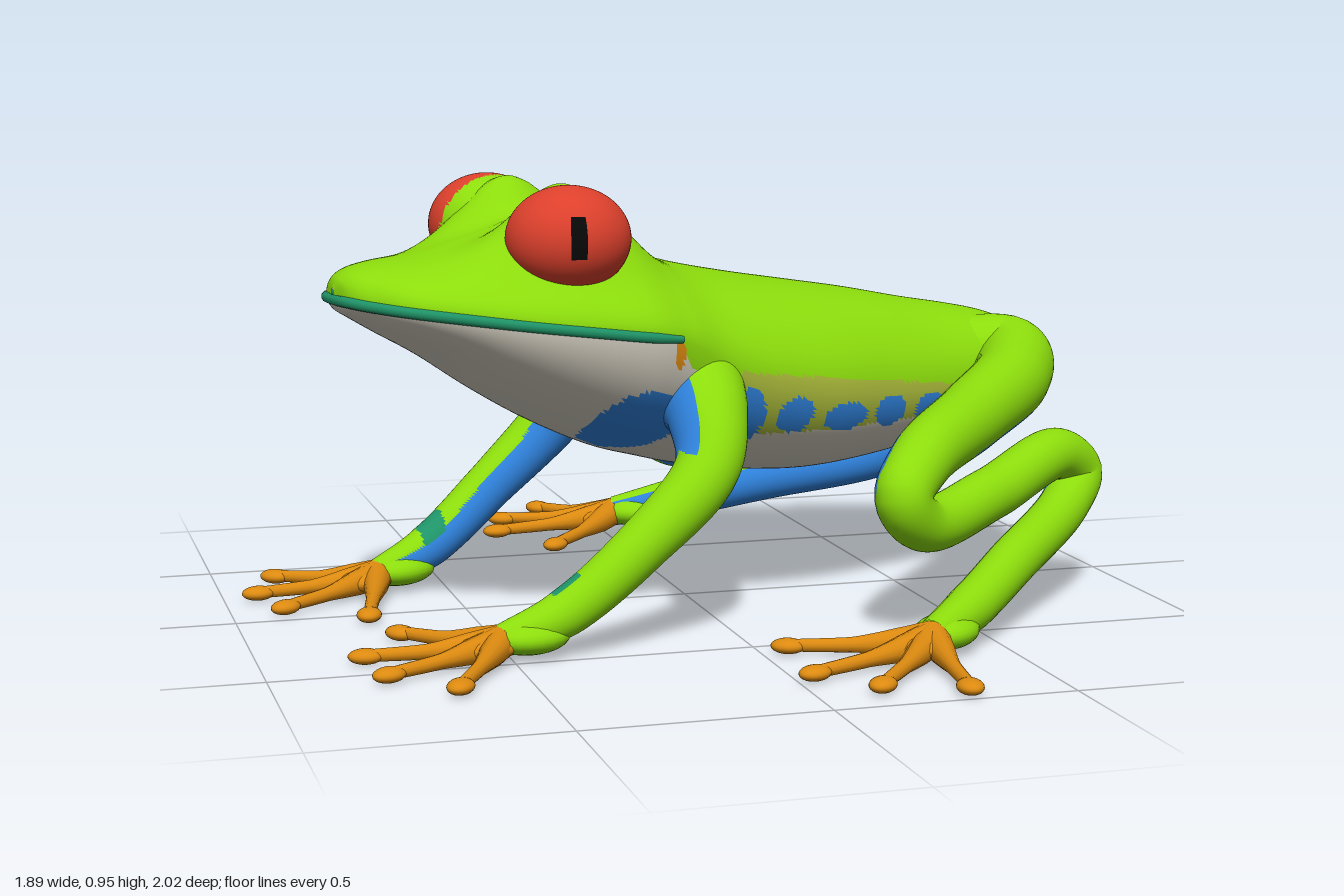
import * as THREE from 'three';

const mat = (name, color) => Object.assign(new THREE.MeshStandardMaterial({ color }), { name });
const GREEN = mat('leafGreen', 0x8cdc0c), BELLY = mat('paleBelly', 0xd2cdbf), FLANK = mat('oliveFlank', 0xa9b93a),
  BLUE = mat('blue', 0x2f82dc), ORANGE = mat('orange', 0xdc8a10), RED = mat('eyeRed', 0xdc402c),
  TEAL = mat('tealLip', 0x1f9468), BLACK = mat('pupilBlack', 0x080808);

function add(parent, name, geometry, material) {
  const mesh = new THREE.Mesh(geometry, material);
  mesh.name = name;
  parent.add(mesh);
  return mesh;
}

// Sorts triangles into material groups; rule(centre, normal) gives the material index
function paint(geo, count, rule) {
  const buckets = Array.from({ length: count }, () => []);
  const pos = geo.attributes.position, nor = geo.attributes.normal, idx = geo.index.array;
  const c = new THREE.Vector3(), n = new THREE.Vector3(), v = new THREE.Vector3();
  for (let i = 0; i < idx.length; i += 3) {
    c.set(0, 0, 0);
    n.set(0, 0, 0);
    for (let k = 0; k < 3; k++) {
      c.add(v.fromBufferAttribute(pos, idx[i + k]));
      n.add(v.fromBufferAttribute(nor, idx[i + k]));
    }
    buckets[rule(c.divideScalar(3), n.normalize())].push(idx[i], idx[i + 1], idx[i + 2]);
  }
  geo.setIndex(buckets.flat());
  let start = 0;
  buckets.forEach((b, m) => { geo.addGroup(start, b.length, m); start += b.length; });
  return geo;
}

// Tapered tube through points [x, y, z, radius]; side mirrors it across z
function limb(points, side, steps, sides) {
  const curve = new THREE.CatmullRomCurve3(points.map(p => new THREE.Vector3(p[0], p[1], p[2] * side)));
  const geo = new THREE.TubeGeometry(curve, steps, 1, sides);
  const pos = geo.attributes.position, v = new THREE.Vector3();
  for (let i = 0; i <= steps; i++) {
    const centre = curve.getPointAt(i / steps);
    const t = curve.getUtoTmapping(i / steps) * (points.length - 1);
    const k = Math.min(Math.floor(t), points.length - 2);
    const r = THREE.MathUtils.lerp(points[k][3], points[k + 1][3], t - k);
    for (let j = 0; j <= sides; j++) {
      const q = i * (sides + 1) + j;
      v.fromBufferAttribute(pos, q).sub(centre).multiplyScalar(r).add(centre);
      pos.setXYZ(q, v.x, v.y, v.z);
    }
  }
  return geo;
}

// Body stations: x, top, widest level, bottom, half width
const STATIONS = [
  [-0.822, 0.735, 0.716, 0.70, 0.004], [-0.81, 0.757, 0.715, 0.685, 0.07], [-0.78, 0.775, 0.71, 0.667, 0.125],
  [-0.72, 0.787, 0.702, 0.632, 0.195], [-0.62, 0.80, 0.689, 0.575, 0.255], [-0.50, 0.83, 0.673, 0.495, 0.305],
  [-0.38, 0.86, 0.658, 0.425, 0.335], [-0.25, 0.83, 0.641, 0.365, 0.348], [-0.15, 0.785, 0.61, 0.335, 0.33],
  [-0.05, 0.755, 0.56, 0.31, 0.31], [0.10, 0.725, 0.51, 0.285, 0.303], [0.25, 0.70, 0.48, 0.275, 0.285],
  [0.40, 0.675, 0.465, 0.285, 0.25], [0.55, 0.645, 0.46, 0.31, 0.215], [0.68, 0.622, 0.475, 0.355, 0.185],
  [0.77, 0.602, 0.495, 0.405, 0.16], [0.84, 0.575, 0.505, 0.435, 0.12], [0.875, 0.545, 0.505, 0.46, 0.065],
  [0.886, 0.512, 0.505, 0.495, 0.006],
];
// Blue flank spots: x, y, radius x, radius y
const SPOTS = [[-0.24, 0.445, 0.09, 0.075], [-0.01, 0.44, 0.05, 0.07], [0.115, 0.44, 0.045, 0.04],
  [0.25, 0.425, 0.06, 0.032], [0.38, 0.425, 0.045, 0.035], [0.50, 0.42, 0.045, 0.035], [0.63, 0.405, 0.05, 0.03]];
const inSpot = (x, y, s) => ((x - s[0]) / s[2]) ** 2 + ((y - s[1]) / s[3]) ** 2 < 1;

function bodyGeometry() {
  const rings = 200, sides = 144, verts = [], index = [];
  const a = new THREE.CatmullRomCurve3(STATIONS.map(s => new THREE.Vector3(s[0], s[1], s[2])), false, 'catmullrom');
  const b = new THREE.CatmullRomCurve3(STATIONS.map(s => new THREE.Vector3(s[3], s[4], 0)), false, 'catmullrom');
  for (let i = 0; i <= rings; i++) {
    const { x, y: top, z: mid } = a.getPoint(i / rings), { x: bottom, y: w } = b.getPoint(i / rings);
    const pinch = 1 + 1.3 * Math.exp(-(((x + 0.38) / 0.2) ** 2)); // narrows the head below the eyes
    for (let j = 0; j < sides; j++) {
      const t = (j / sides) * Math.PI * 2, c = Math.cos(t), s = Math.sin(t);
      const z = w * Math.sign(c) * Math.abs(c) ** (s > 0 ? pinch : 1);
      // Brow humps swell smoothly out of the head
      const hump = 0.14 * Math.exp(-(((x + 0.365) / 0.155) ** 2) - ((Math.abs(z) - 0.15) / 0.09) ** 2);
      verts.push(x, mid + s * (s > 0 ? top - mid : mid - bottom) + hump * THREE.MathUtils.clamp(s * 1.8, 0, 1), z);
      if (i < rings) {
        const p = i * sides + j, q = i * sides + (j + 1) % sides;
        index.push(p, p + sides, q, q, p + sides, q + sides);
      }
    }
  }
  const geo = new THREE.BufferGeometry();
  geo.setAttribute('position', new THREE.Float32BufferAttribute(verts, 3));
  geo.setIndex(index);
  geo.computeVertexNormals();
  return paint(geo, 5, ({ x, y, z }) => {
    if (inSpot(x, y, [-0.19, 0.597, 0.013, 0.03])) return 4;
    if (Math.abs(z) > 0.06 && SPOTS.some(s => inSpot(x, y, s))) return 3;
    if (x < -0.19 + 0.5 * Math.max(0, 0.63 - y)) return y > 0.715 - 0.13 * (x + 0.82) ? 0 : 1;
    if (y > 0.555 - 0.13 * (x + 0.1)) return 0;
    return y > 0.4 && x > -0.08 && (x < 0.72 || y > 0.46) ? (x < 0.68 ? 2 : 0) : 1;
  });
}

// Orange foot: toes fanning out from the wrist, each with a round pad, and a broad green wrist behind
function foot(parent, name, path, tips, side) {
  const group = new THREE.Group();
  group.name = name;
  parent.add(group);
  const [wx, wy, wz] = path[path.length - 1], [px, , pz] = path[path.length - 2];
  const disc = (label, material, scale, x, y, z, dx, dz) => {
    const mesh = add(group, label, new THREE.SphereGeometry(1, 22, 14), material);
    mesh.scale.set(...scale);
    mesh.position.set(x, y, z * side);
    mesh.rotation.y = -Math.atan2(dz * side, dx);
  };
  for (const [tx, tz] of tips) {
    const at = (f, y, r) => [wx + (tx - wx) * f, y, wz + (tz - wz) * f, r];
    add(group, 'toe', limb([at(0, wy, 0.034), at(0.25, 0.032, 0.028), at(0.55, 0.023, 0.016), at(1, 0.017, 0.013)],
      side, 16, 12), ORANGE);
    disc('toePad', ORANGE, [0.036, 0.016, 0.027], tx, 0.016, tz, tx - wx, tz - wz);
  }
  const mx = (tips[1][0] + tips[2][0]) / 2 - wx, mz = (tips[1][1] + tips[2][1]) / 2 - wz;
  disc('palm', ORANGE, [0.06, 0.026, 0.066], wx + mx * 0.13, 0.033, wz + mz * 0.13, mx, mz);
  const len = Math.hypot(px - wx, pz - wz), ux = (px - wx) / len, uz = (pz - wz) / len;
  disc('wrist', GREEN, [0.085, 0.036, 0.062], wx + ux * 0.055, 0.046, wz + uz * 0.055, ux, uz);
}

const ARM = [[-0.10, 0.52, 0.22, 0.11], [-0.115, 0.455, 0.315, 0.085], [-0.15, 0.36, 0.375, 0.068],
  [-0.30, 0.22, 0.385, 0.056], [-0.47, 0.09, 0.365, 0.05], [-0.60, 0.042, 0.345, 0.034]];
const HAND_TIPS = [[-0.775, 0.54], [-0.865, 0.395], [-0.855, 0.24], [-0.72, 0.09]];
const LEG = [[0.64, 0.50, 0.06, 0.10], [0.775, 0.505, 0.12, 0.094], [0.71, 0.475, 0.23, 0.088],
  [0.50, 0.425, 0.385, 0.078], [0.27, 0.37, 0.54, 0.067], [0.195, 0.305, 0.59, 0.06], [0.26, 0.24, 0.565, 0.058],
  [0.50, 0.265, 0.46, 0.058], [0.75, 0.315, 0.355, 0.058], [0.825, 0.265, 0.33, 0.057], [0.76, 0.205, 0.375, 0.055],
  [0.50, 0.13, 0.545, 0.053], [0.31, 0.075, 0.665, 0.05], [0.18, 0.045, 0.73, 0.036]];
const FOOT_TIPS = [[0.093, 0.995], [-0.048, 0.905], [-0.12, 0.77], [-0.06, 0.56]];

export function createModel() {
  const model = new THREE.Group();
  model.name = 'treeFrog';
  const frog = new THREE.Group();
  frog.name = 'frog';
  frog.rotation.y = 0.2;
  frog.position.z = 0.01;
  model.add(frog);

  add(frog, 'body', bodyGeometry(), [GREEN, BELLY, FLANK, BLUE, ORANGE]);

  // Lip line around the snout
  const edge = STATIONS.slice(1, 8).map(s => [s[0], s[2] - 0.005, s[4] - 0.004, 0.012]);
  edge.push([-0.185, 0.628, 0.336, 0.008]);
  const lip = [...edge.slice().reverse(), [-0.816, 0.71, 0, 0.012], ...edge.map(([x, y, z, r]) => [x, y, -z, r])];
  add(frog, 'lip', limb(lip, 1, 100, 10), TEAL);

  for (const side of [1, -1]) {
    const label = side > 0 ? 'near' : 'far';

    // Eye with a green inner lid and slit pupil
    const eye = new THREE.Group();
    eye.name = label + 'Eye';
    eye.position.set(-0.385, 0.835, 0.21 * side);
    eye.rotation.y = side > 0 ? -0.25 : Math.PI + 0.25;
    eye.scale.set(1.08, 0.91, 1);
    frog.add(eye);
    add(eye, 'eyeball', paint(new THREE.SphereGeometry(0.121, 64, 44), 2, c => (c.z < -0.005 - 0.2 * c.y ? 1 : 0)),
      [RED, GREEN]);
    add(eye, 'pupil', new THREE.SphereGeometry(0.1225, 8, 12, Math.PI / 2 - 0.13, 0.26, Math.PI / 2 - 0.5, 0.8), BLACK);

    // Front leg, blue on the inside and across the front of the shoulder, with a small teal wrist mark
    add(frog, label + 'FrontLeg', paint(limb(ARM, side, 110, 40), 3, (c, n) => {
      if (Math.abs(c.x + 0.47) < 0.028 && n.y > 0.4 && n.z * side < 0.25) return 2;
      return (n.z * side < -0.25 && n.y < 0.5) || (c.y > 0.4 && n.x < -0.6) ? 1 : 0;
    }), [GREEN, BLUE, TEAL]);
    foot(frog, label + 'FrontFoot', ARM, HAND_TIPS, side);

    // Folded hind leg, blue on the faces turned to the body and under the thigh
    add(frog, label + 'HindLeg', paint(limb(LEG, side, 220, 40), 2, (c, n) => {
      const inner = n.z * side < -0.25 && n.y < 0.7 && n.x < 0.5 && c.y < 0.43;
      const under = n.y < -0.6 && c.y > 0.36 && c.x > 0.4 && c.x < 0.74;
      return inner || under ? 1 : 0;
    }), [GREEN, BLUE]);
    foot(frog, label + 'HindFoot', LEG, FOOT_TIPS, side);
  }
  return model;
}
